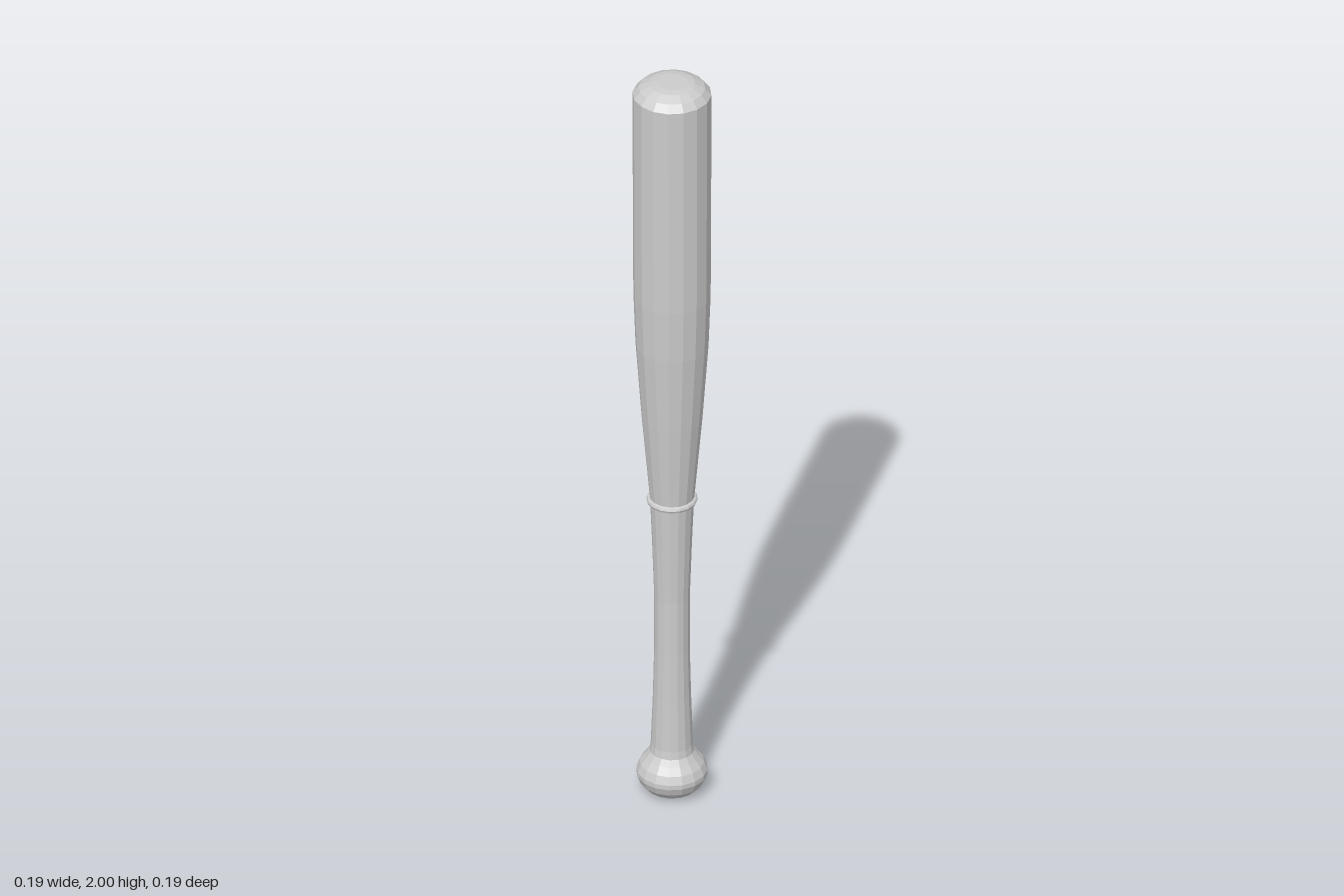
import * as THREE from 'three';

const SIDES = 16;

export function createModel() {
  const group = new THREE.Group();
  const material = new THREE.MeshStandardMaterial({ color: 0xcccccc, flatShading: true });

  // Turns a profile of [radius, height] pairs, listed from bottom to top
  const turned = (name, profile) => {
    const points = profile.map(([r, y]) => new THREE.Vector2(r, y));
    const mesh = new THREE.Mesh(new THREE.LatheGeometry(points, SIDES), material);
    mesh.name = name;
    group.add(mesh);
  };

  // Rounded knob at the foot of the handle
  turned('knob', [
    [0, 0], [0.042, 0.002], [0.062, 0.012], [0.078, 0.03], [0.086, 0.05],
    [0.086, 0.062], [0.078, 0.082], [0.064, 0.1], [0.054, 0.115], [0.051, 0.135],
  ]);

  // Slim handle, narrowest in the middle
  turned('handle', [
    [0.051, 0.135], [0.046, 0.27], [0.043, 0.4], [0.043, 0.55], [0.048, 0.7], [0.053, 0.82],
  ]);

  // Barrel widening from the grip to a domed end
  turned('barrel', [
    [0.053, 0.82], [0.073, 1.05], [0.088, 1.26], [0.093, 1.4], [0.094, 1.53], [0.095, 1.967],
    [0.08, 1.985], [0.056, 1.997], [0.038, 2], [0, 2],
  ]);

  // Thin ring where the grip meets the barrel
  const ring = new THREE.Mesh(new THREE.TorusGeometry(0.054, 0.008, 8, SIDES), material);
  ring.name = 'gripRing';
  ring.rotation.x = Math.PI / 2;
  ring.position.y = 0.822;
  group.add(ring);

  return group;
}
